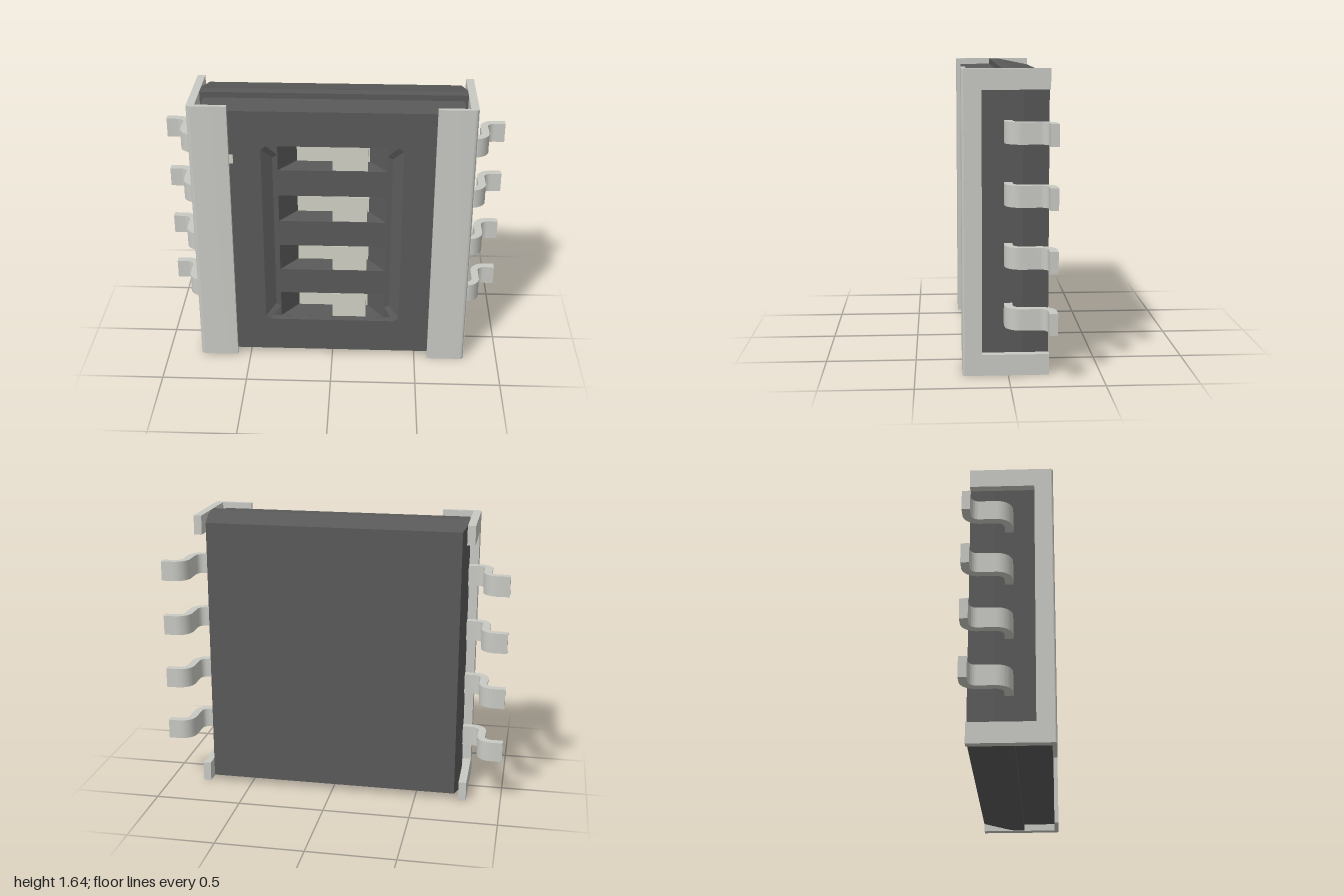
import * as THREE from 'three';
import { toCreasedNormals } from 'three/addons/utils/BufferGeometryUtils.js';

const dark = new THREE.MeshStandardMaterial({ color: 0x5a5a5a, side: THREE.DoubleSide });
const metal = new THREE.MeshStandardMaterial({ color: 0xc9c9c4 });
const cream = new THREE.MeshStandardMaterial({ color: 0xd2d2c6 });

const MID = 0.82, PITCH = 0.327, COUNT = 4;
const V = (x, y) => new THREE.Vector2(x, y);
const rect = (x0, y0, x1, y1) => [V(x0, y0), V(x1, y0), V(x1, y1), V(x0, y1)];

function add(parent, name, geo, mat) {
  const m = new THREE.Mesh(geo, mat);
  m.name = name;
  parent.add(m);
  return m;
}

// box given by its min and max corners
function box(x0, y0, z0, x1, y1, z1) {
  return new THREE.BoxGeometry(x1 - x0, y1 - y0, z1 - z0)
    .translate((x0 + x1) / 2, (y0 + y1) / 2, (z0 + z1) / 2);
}

// flat plate with holes, from z0 to z1
function plate(outline, holes, z0, z1) {
  const s = new THREE.Shape(outline);
  holes.forEach(h => s.holes.push(new THREE.Path(h)));
  return new THREE.ExtrudeGeometry(s, { depth: z1 - z0, bevelEnabled: false }).translate(0, 0, z0);
}

// faceted surface from points and triangles
function faceted(points, index) {
  const g = new THREE.BufferGeometry();
  g.setAttribute('position', new THREE.Float32BufferAttribute(points.flat(), 3));
  g.setIndex(index);
  const flat = g.toNonIndexed();
  flat.computeVertexNormals();
  return flat;
}

// base block: rectangles lofted along z, tapering to the back
function baseGeometry() {
  const sections = [[-0.22, 0.73, 0.78], [-0.08, 0.755, 0.808], [-0.03, 0.755, 0.818], [0.03, 0.755, 0.818]];
  const pts = [], idx = [];
  sections.forEach(([z, hx, hy]) =>
    rect(-hx, MID - hy, hx, MID + hy).forEach(p => pts.push([p.x, p.y, z])));
  for (let i = 0; i < sections.length - 1; i++) {
    for (let j = 0; j < 4; j++) {
      const a = i * 4 + j, b = i * 4 + (j + 1) % 4;
      idx.push(a, b, b + 4, a, b + 4, a + 4);
    }
  }
  const f = (sections.length - 1) * 4;
  idx.push(0, 2, 1, 0, 3, 2, f, f + 1, f + 2, f, f + 2, f + 3);
  return faceted(pts, idx);
}

// sloping side wall of the front recess, with cut corners
function recessWall(s) {
  const outer = [[0.37, 1.397], [0.40, 1.375], [0.40, 0.27], [0.37, 0.248]];
  const inner = [[0.31, 1.325], [0.34, 1.31], [0.34, 0.335], [0.31, 0.32]];
  const pts = [...outer.map(p => [s * p[0], p[1], 0.22]), ...inner.map(p => [s * p[0], p[1], 0.18])];
  const idx = [];
  for (let i = 0; i < 3; i++) {
    if (s < 0) idx.push(i, i + 4, i + 5, i, i + 5, i + 1);
    else idx.push(i, i + 5, i + 4, i, i + 1, i + 5);
  }
  return faceted(pts, idx);
}

// gull-wing terminal drawn in x and -z, extruded along y
function pinGeometry(s) {
  const p = new THREE.Shape();
  p.moveTo(0.72, -0.022);
  p.lineTo(0.81, -0.022);
  p.absarc(0.81, 0.063, 0.085, -Math.PI / 2, 0, false);
  p.absarc(0.935, 0.16, 0.04, Math.PI, Math.PI / 2, true);
  p.lineTo(1, 0.2);
  p.lineTo(1, 0.245);
  p.absarc(0.935, 0.16, 0.085, Math.PI / 2, Math.PI, false);
  p.absarc(0.81, 0.063, 0.04, 0, -Math.PI / 2, true);
  p.lineTo(0.72, 0.023);
  const shape = new THREE.Shape(p.getPoints(8).map(q => V(s * q.x, q.y)));
  const g = new THREE.ExtrudeGeometry(shape, { depth: 0.115, bevelEnabled: false });
  g.rotateX(-Math.PI / 2).translate(0, -0.0575, 0);
  return toCreasedNormals(g, 0.6);
}

// C-shaped side plate drawn in z and y, extruded along x
function clipSide(s) {
  const c = [V(0.235, 0), V(0.235, 1.64), V(-0.22, 1.64), V(-0.22, 1.53),
    V(0.14, 1.53), V(0.14, 0.115), V(-0.22, 0.115), V(-0.22, 0)];
  return plate(c, [], 0, 0.045).rotateY(-Math.PI / 2).translate(s > 0 ? 0.80 : -0.755, 0, 0);
}

// front lip of the clip, rounded where it meets the side plate
function clipLip(s) {
  const p = new THREE.Shape();
  p.moveTo(0.578, -0.22);
  p.lineTo(0.80, -0.22);
  p.absarc(0.78, -0.225, 0.02, 0, -Math.PI / 2, true);
  p.lineTo(0.578, -0.245);
  const shape = new THREE.Shape(p.getPoints(5).map(q => V(s * q.x, q.y)));
  const g = new THREE.ExtrudeGeometry(shape, { depth: 1.64, bevelEnabled: false });
  return toCreasedNormals(g.rotateX(-Math.PI / 2), 0.6);
}

export function createModel() {
  const model = new THREE.Group();
  model.name = 'slideSwitch';

  add(model, 'base', baseGeometry(), dark);

  // cover: front layer with the recess opening, panel layer with the slots
  const cover = rect(-0.735, 0.035, 0.735, 1.605);
  const opening = [V(-0.37, 0.248), V(0.37, 0.248), V(0.40, 0.27), V(0.40, 1.375),
    V(0.37, 1.397), V(-0.37, 1.397), V(-0.40, 1.375), V(-0.40, 0.27)];
  const slotY = Array.from({ length: COUNT }, (_, i) => 0.249 + i * PITCH);
  const slots = slotY.map(y => rect(-0.31, y, 0.31, y + 0.166));
  add(model, 'coverFront', plate(cover, [opening], 0.18, 0.22), dark);
  add(model, 'coverPanel', plate(cover, slots, 0.03, 0.18), dark);

  // sliders with their sloping slot ends
  slotY.forEach(y => {
    const g = new THREE.Group();
    g.name = 'slider';
    model.add(g);
    add(g, 'sliderPlate', box(-0.21, y, 0.03, 0.21, y + 0.166, 0.05), cream);
    add(g, 'sliderKnob', box(0, y + 0.003, 0.05, 0.2, y + 0.163, 0.18), cream);
    for (const s of [-1, 1]) {
      const wedge = new THREE.Shape([V(s * 0.31, -0.18), V(s * 0.31, -0.03), V(s * 0.205, -0.04)]);
      const geo = new THREE.ExtrudeGeometry(wedge, { depth: 0.166, bevelEnabled: false });
      add(g, 'slotEnd', geo.rotateX(-Math.PI / 2).translate(0, y, 0), dark);
    }
  });

  // mirrored parts: recess walls, metal clips and terminals
  for (const s of [-1, 1]) {
    const side = s > 0 ? 'left' : 'right';
    add(model, side + 'RecessWall', recessWall(s), dark);
    const clip = new THREE.Group();
    clip.name = side + 'Clip';
    model.add(clip);
    add(clip, 'clipSide', clipSide(s), metal);
    add(clip, 'clipLip', clipLip(s), metal);
    for (let i = 0; i < COUNT; i++) {
      add(model, side + 'Terminal', pinGeometry(s), metal).position.y = 0.332 + i * PITCH;
    }
  }

  // small marker beside the clip
  add(model, 'marker', box(-0.58, 1.29, 0.215, -0.556, 1.343, 0.226), cream);
  return model;
}
